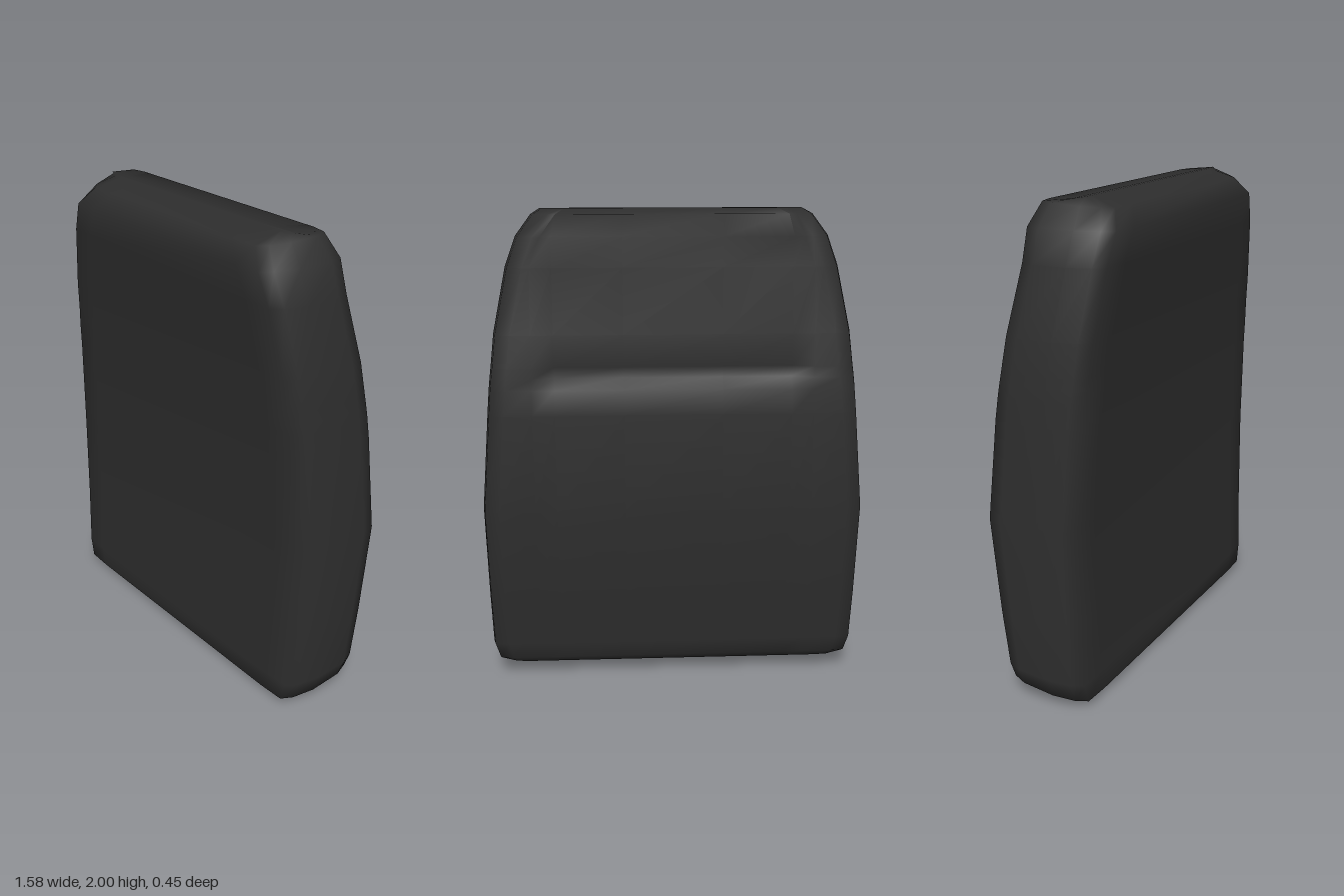
import * as THREE from 'three';

// Cushion rings from bottom to top: [front y, back y, half width, front z, back z, seam depth]
const RINGS = [
  [0.02, 0.03, 0.68, 0.02, 0.01, 0],
  [0.0, 0.06, 0.70, 0.13, -0.115, 0],
  [0.035, 0.10, 0.765, 0.165, -0.155, 0],
  [0.12, 0.17, 0.785, 0.162, -0.163, 0],
  [0.4, 0.4, 0.788, 0.152, -0.19, 0],
  [0.8, 0.8, 0.79, 0.145, -0.225, 0],
  [1.2, 1.2, 0.757, 0.163, -0.197, 0],
  [1.3, 1.3, 0.748, 0.17, -0.186, 0],
  [1.345, 1.345, 0.743, 0.173, -0.18, 0.03],
  [1.39, 1.39, 0.737, 0.176, -0.174, 0.02],
  [1.52, 1.52, 0.722, 0.187, -0.155, 0],
  [1.78, 1.78, 0.668, 0.213, -0.11, 0],
  [1.9, 1.9, 0.622, 0.225, -0.118, 0],
  [1.97, 1.985, 0.56, 0.18, -0.09, 0],
  [2.0, 2.0, 0.53, 0.06, 0.04, 0],
];

// Right half of a ring, front to back: [inset from the side, share of depth]
const SIDE = [
  [0.2, 1], [0.09, 0.985], [0.055, 0.86], [0.02, 0.6],
  [0, 0.2], [0.012, 0.04], [0.07, 0],
];
// Flat back, then mirrored: x as a fixed distance from the middle
const BACK = [0.57, 0.48, 0.2];

function ringPoints([yf, yb, w, zf, zb, seam]) {
  const half = SIDE.map(([inset, f]) => [w - inset, f, 0]);
  for (const x of BACK) half.push([Math.min(x, w - 0.1), 0, x < 0.5 ? seam : 0]);
  const mirrored = half.slice().reverse().map(([x, f, s]) => [-x, f, s]);
  return [...half, ...mirrored].map(([x, f, s]) => [
    x, yb + (yf - yb) * f, zb + (zf - zb) * f + s,
  ]);
}

function cushionGeometry() {
  const rows = RINGS.map(ringPoints);
  const n = rows[0].length;
  const positions = rows.flat(2);
  const index = [];
  for (let i = 0; i < rows.length - 1; i++) {
    for (let j = 0; j < n; j++) {
      const k = (j + 1) % n;
      const a = i * n + j, b = i * n + k, c = b + n, d = a + n;
      index.push(a, b, c, a, c, d);
    }
  }
  // Close the narrow strips at the bottom and top, pairing front with back
  const last = (rows.length - 1) * n;
  for (let j = 1; j < n - 1; j++) {
    index.push(0, j + 1, j);
    index.push(last, last + j, last + j + 1);
  }
  const g = new THREE.BufferGeometry();
  g.setAttribute('position', new THREE.Float32BufferAttribute(positions, 3));
  g.setIndex(index);
  g.computeVertexNormals();
  return g;
}

export function createModel() {
  const upholstery = new THREE.MeshStandardMaterial({ color: 0x2d2d2d });
  upholstery.name = 'charcoal upholstery';

  const group = new THREE.Group();
  group.name = 'seatBackrest';

  const cushion = new THREE.Mesh(cushionGeometry(), upholstery);
  cushion.name = 'backrestCushion';
  group.add(cushion);
  return group;
}
